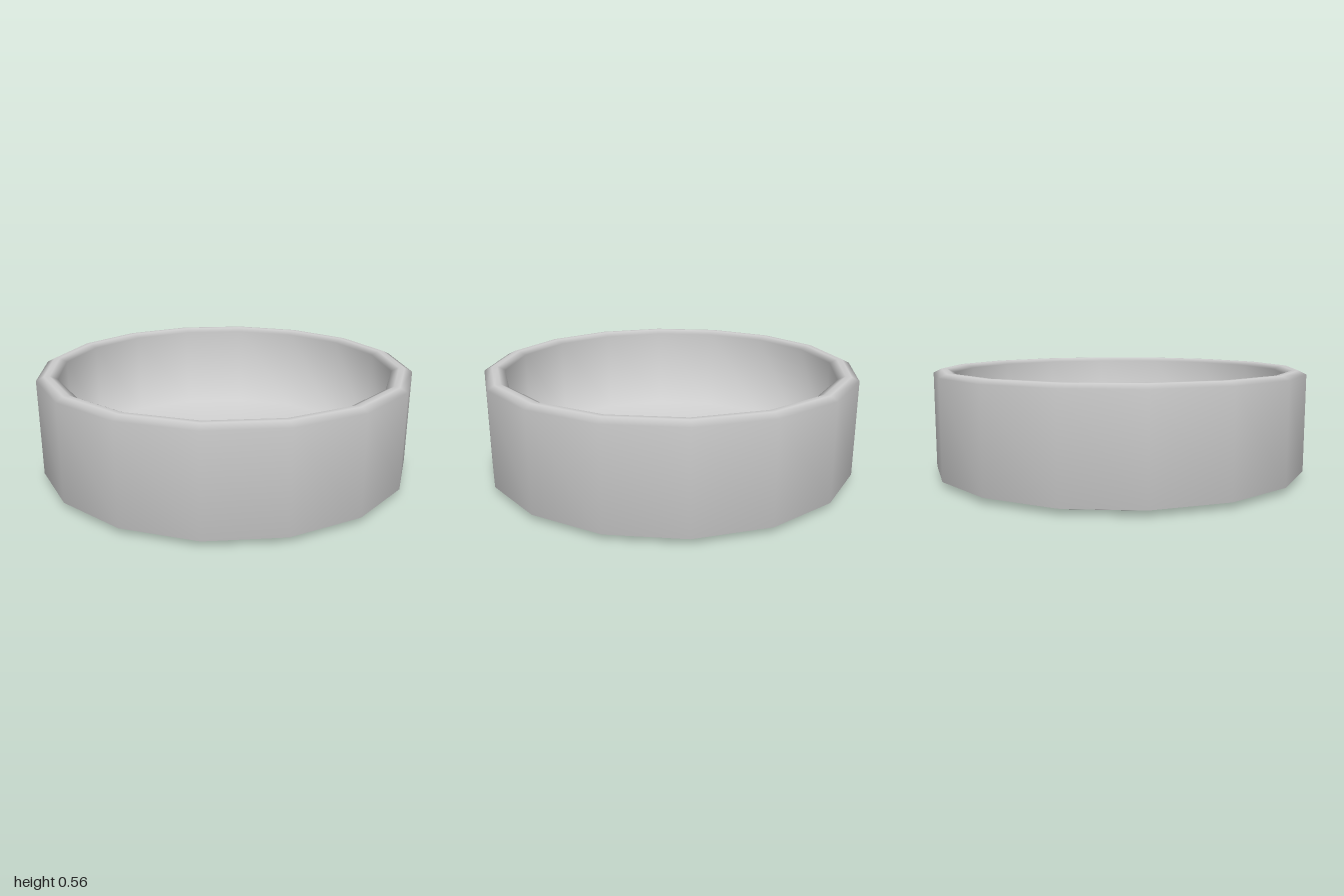
import * as THREE from 'three';

// Shallow round dish: one closed profile turned in 16 sides
export function createModel() {
  const group = new THREE.Group();
  group.name = 'dish';

  const profile = [
    [0, 0], [0.9, 0],                                 // underside
    [1, 0.03], [1, 0.54],                             // bottom bevel and outer wall
    [0.96, 0.56], [0.93, 0.56], [0.89, 0.54],         // bevelled rim
    [0.89, 0.06], [0, 0.06],                          // inner wall and floor
  ].map(([r, y]) => new THREE.Vector2(r, y));

  const bowl = new THREE.Mesh(
    new THREE.LatheGeometry(profile, 16),
    new THREE.MeshStandardMaterial({ color: 0xcccccc })
  );
  bowl.name = 'bowl';
  group.add(bowl);
  return group;
}
